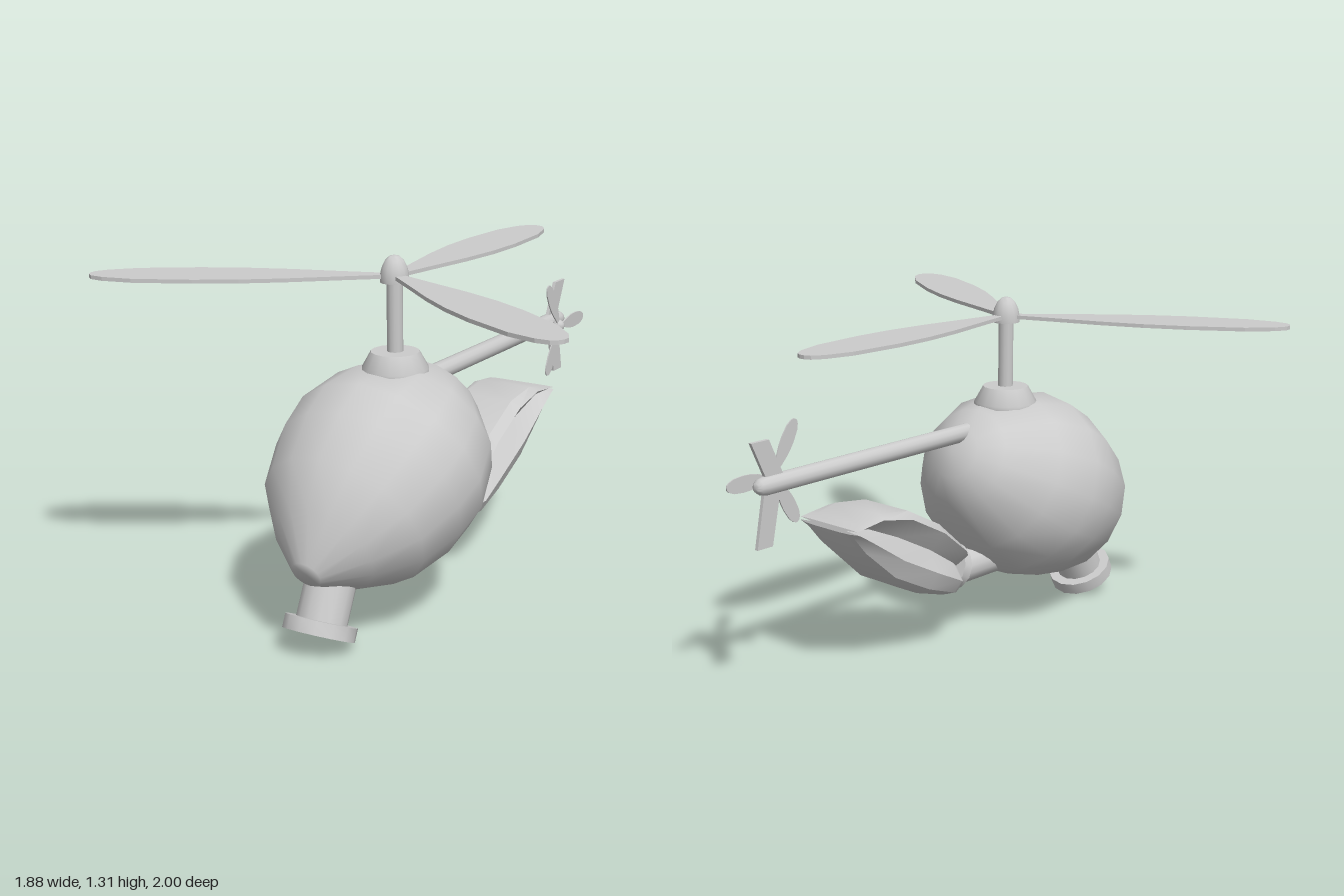
import * as THREE from 'three';
import { toCreasedNormals, mergeVertices } from 'three/addons/utils/BufferGeometryUtils.js';

const material = new THREE.MeshStandardMaterial({ color: 0xcccccc });
const thin = new THREE.MeshStandardMaterial({ color: 0xcccccc, side: THREE.DoubleSide });

export function createModel() {
  const root = new THREE.Group();

  function add(name, geometry, x = 0, y = 0, z = 0, parent = root, mat = material) {
    const mesh = new THREE.Mesh(geometry, mat);
    mesh.name = name;
    mesh.position.set(x, y, z);
    parent.add(mesh);
    return mesh;
  }
  function lathe(points, sides, crease = 0.7) {
    const g = new THREE.LatheGeometry(points.map(([r, y]) => new THREE.Vector2(r, y)), sides);
    return toCreasedNormals(g, crease);
  }
  const group = (name, x, y, z) => {
    const g = new THREE.Group();
    g.name = name;
    g.position.set(x, y, z);
    root.add(g);
    return g;
  };

  // Egg-shaped cabin, tilted nose-down, flattened at top and bottom
  const egg = [[0, -0.445], [0.1, -0.42], [0.19, -0.37], [0.325, -0.2], [0.371, -0.02],
    [0.36, 0.12], [0.305, 0.295], [0.19, 0.435], [0.055, 0.553], [0, 0.553]];
  let cabin = new THREE.LatheGeometry(egg.map(([r, a]) => new THREE.Vector2(r, a)), 16);
  cabin.rotateX(2.04).scale(1.05, 1, 1).translate(0, 0.56, 0.455);
  const cp = cabin.attributes.position;
  for (let i = 0; i < cp.count; i++) cp.setY(i, THREE.MathUtils.clamp(cp.getY(i), 0.155, 0.905));
  cabin.deleteAttribute('uv');
  cabin.deleteAttribute('normal');
  cabin = mergeVertices(cabin, 1e-4);
  cabin.computeVertexNormals();
  add('cabin', cabin);

  // Hollow flanged nozzle under the nose
  const nozzle = add('noseNozzle', lathe([[0, 0.1], [0.08, 0.1], [0.08, 0], [0.13, 0],
    [0.13, 0.05], [0.092, 0.05], [0.092, 0.29]], 14), 0, 0.064, 0.883);
  nozzle.rotation.x = -0.445;

  // Mast with conical base and domed cap
  add('mastBase', lathe([[0.122, 0.89], [0.122, 0.905], [0.088, 0.966], [0, 0.966]], 16), 0, 0, 0.37);
  add('mast', new THREE.CylinderGeometry(0.029, 0.029, 0.3, 12), 0, 1.1, 0.37);
  add('rotorCap', lathe([[0, 1.217], [0.052, 1.217], [0.052, 1.243], [0.046, 1.27],
    [0.034, 1.295], [0.018, 1.31], [0, 1.315]], 14), 0, 0, 0.37);

  // Blade outline along +y: [fraction of length, fraction of half width]
  const outline = [[0.02, 0.15], [0.16, 0.4], [0.35, 0.76], [0.5, 0.95], [0.65, 1],
    [0.85, 0.87], [0.95, 0.58], [0.99, 0.32], [1, 0.1]];
  function blade(length, halfWidth, thickness) {
    const side = outline.map(([s, w]) => new THREE.Vector2(w * halfWidth, s * length));
    const other = side.map((p) => new THREE.Vector2(-p.x, p.y)).reverse();
    const g = new THREE.ExtrudeGeometry(new THREE.Shape([...side, ...other]),
      { depth: thickness, bevelEnabled: false });
    return g.translate(0, 0, -thickness / 2);
  }

  // Main rotor
  const rotor = group('mainRotor', 0, 1.239, 0.37);
  const mainBlade = blade(1.075, 0.105, 0.014);
  for (let k = 0; k < 3; k++) {
    const b = add('mainBlade', mainBlade, 0, 0, 0, rotor);
    b.rotation.set(-Math.PI / 2, k * 2 * Math.PI / 3, 0, 'YXZ');
  }

  // Tail boom with rounded end
  add('tailBoom', lathe([[0.034, -0.2], [0.034, 0.89], [0.028, 0.915], [0.016, 0.93], [0, 0.935]], 12),
    0, 0.82, 0).rotation.x = -Math.PI / 2;

  // Tail fins, drawn as [z, y]
  const fins = {
    upperFin: [[-0.8, 0.83], [-0.88, 0.83], [-0.95, 0.98], [-0.87, 0.98]],
    lowerFin: [[-0.82, 0.81], [-0.895, 0.81], [-0.935, 0.6], [-0.865, 0.6]],
  };
  for (const [name, pts] of Object.entries(fins)) {
    const shape = new THREE.Shape(pts.map(([z, y]) => new THREE.Vector2(-z, y)));
    const g = new THREE.ExtrudeGeometry(shape, { depth: 0.014, bevelEnabled: false });
    add(name, g.translate(0, 0, -0.007).rotateY(Math.PI / 2));
  }

  // Tail rotor on the left of the boom
  const tail = group('tailRotor', 0.07, 0.82, -0.785);
  add('tailShaft', new THREE.CylinderGeometry(0.016, 0.016, 0.07, 10), -0.035, 0, 0, tail)
    .rotation.z = Math.PI / 2;
  add('tailHub', new THREE.SphereGeometry(0.026, 12, 8), -0.005, 0, 0, tail);
  const tailBlade = blade(0.215, 0.03, 0.005);
  for (let k = 0; k < 3; k++) {
    add('tailBlade', tailBlade, 0, 0, 0, tail)
      .rotation.set(-Math.PI / 2 + k * 2 * Math.PI / 3, Math.PI / 2, 0);
  }

  // Pipe and collar leading to the rear pod
  add('rearPipe', new THREE.CylinderGeometry(0.067, 0.067, 0.36, 14), 0, 0.289, 0.18)
    .rotation.x = Math.PI / 2;
  const collar = add('podCollar', new THREE.CylinderGeometry(0.1, 0.1, 0.042, 14), 0, 0.315, 0.02);
  collar.rotation.x = -1.16;
  collar.scale.x = 1.2;

  // Rear pod: grooved sections running back to a wide chisel edge
  // station: [top z, top y, bottom z, bottom y, half width]
  const stations = [[0.02, 0.4, -0.03, 0.22, 0.125], [-0.01, 0.43, -0.06, 0.228, 0.145],
    [-0.13, 0.535, -0.2, 0.27, 0.145], [-0.3, 0.625, -0.38, 0.36, 0.145],
    [-0.45, 0.645, -0.53, 0.5, 0.145], [-0.55, 0.625, -0.585, 0.58, 0.145],
    [-0.592, 0.618, -0.597, 0.6, 0.145]];
  const half = [[0.75, 1], [1, 0.8], [0.6, 0.25], [1, -0.3], [0.8, -0.8], [0.4, -1]];
  const section = [...half, ...half.map(([u, v]) => [-u, v]).reverse()];
  const n = section.length, pos = [], index = [];
  for (const [zt, yt, zb, yb, w] of stations) {
    for (const [u, v] of section) {
      const t = (v + 1) / 2;
      pos.push(u * w, yb + (yt - yb) * t, zb + (zt - zb) * t);
    }
  }
  const last = stations.length - 1;
  for (const s of [0, last]) {
    const [zt, yt, zb, yb] = stations[s];
    pos.push(0, (yt + yb) / 2, (zt + zb) / 2);
  }
  for (let j = 0; j < n; j++) {
    const k = (j + 1) % n;
    for (let i = 0; i < last; i++) {
      const a = i * n + j, b = i * n + k;
      index.push(a, b, a + n, b, b + n, a + n);
    }
    index.push(n * (last + 1), k, j);
    index.push(n * (last + 1) + 1, last * n + j, last * n + k);
  }
  const pod = new THREE.BufferGeometry();
  pod.setAttribute('position', new THREE.Float32BufferAttribute(pos, 3));
  pod.setIndex(index);
  add('rearPod', toCreasedNormals(pod, 0.6), 0, 0, 0, root, thin);

  return root;
}
